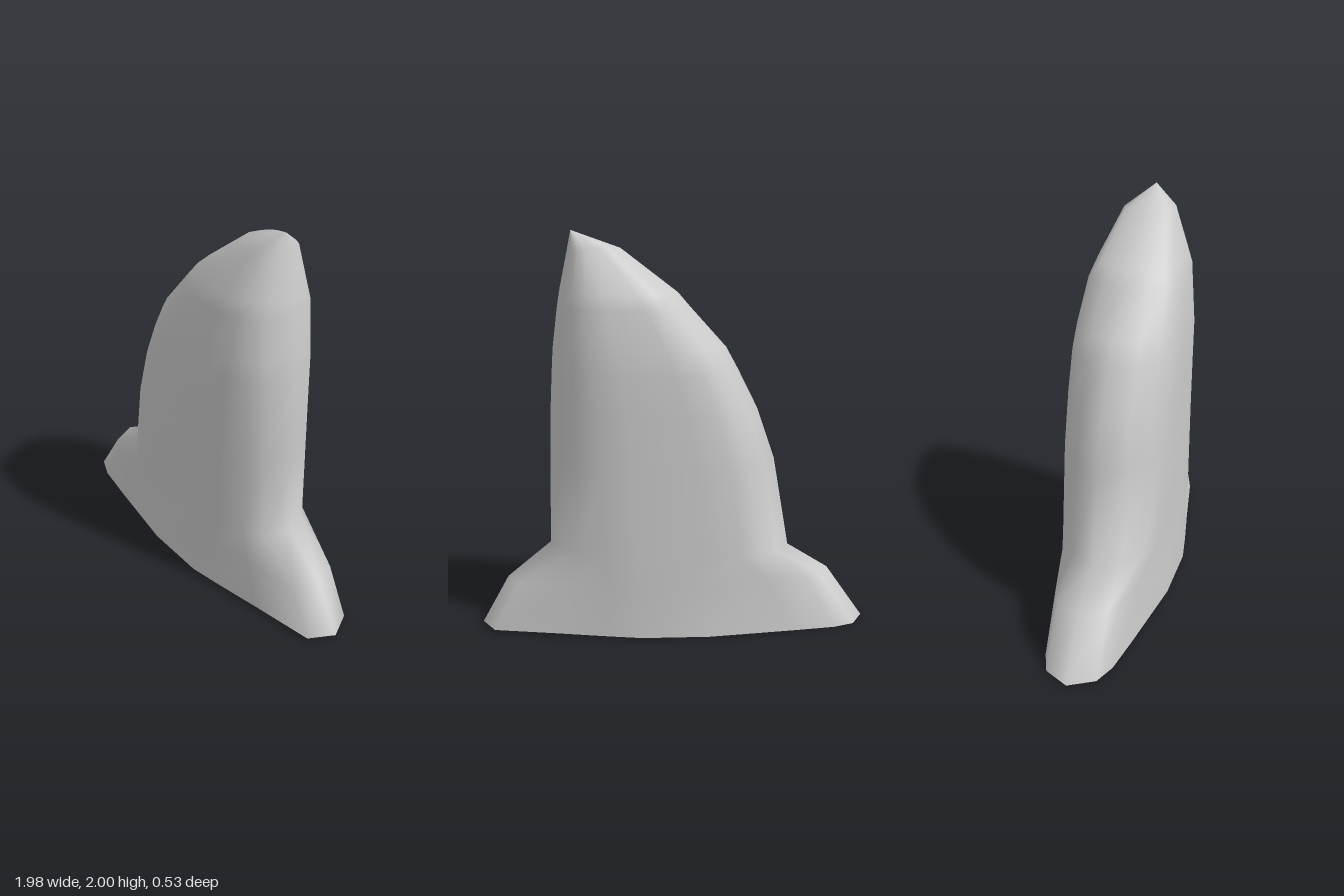
import * as THREE from 'three';

// Half outlines of a section: [fraction along the length, fraction of half thickness]
const FOOT = [[0, 0], [0.035, 0.47], [0.09, 0.64], [0.2, 0.77], [0.42, 1], [0.59, 1], [0.68, 0.88], [0.8, 0.7], [0.965, 0.47], [1, 0]];
const FIN = [[0, 0], [0.06, 0.47], [0.14, 0.78], [0.22, 0.93], [0.36, 1], [0.64, 1], [0.78, 0.9], [0.88, 0.72], [0.95, 0.47], [1, 0]];

// Sections from base to tip: leading x, y; trailing x, y; half thickness; blend from foot to fin outline
const SECTIONS = [
  [-0.99, 0, 0.985, 0.018, 0.265, 0],
  [-0.8, 0.27, 0.85, 0.26, 0.265, 0],
  [-0.59, 0.4, 0.63, 0.44, 0.265, 1],
  [-0.51, 0.86, 0.622, 0.86, 0.265, 1],
  [-0.42, 1.12, 0.615, 1.13, 0.265, 1],
  [-0.32, 1.32, 0.605, 1.32, 0.265, 1],
  [-0.26, 1.43, 0.598, 1.43, 0.255, 1],
  [-0.08, 1.63, 0.573, 1.63, 0.235, 1],
  [-0.02, 1.7, 0.56, 1.71, 0.207, 1],
  [0.26, 1.915, 0.52, 1.9, 0.125, 1],
  [0.5, 2, 0.5, 2, 0, 1],
];

// Closed loop of points: along the front side, then back along the mirrored side
function sectionLoop([x0, y0, x1, y1, half, blend]) {
  const side = FOOT.map(([u, w], i) => {
    const t = THREE.MathUtils.lerp(u, FIN[i][0], blend);
    const z = half * THREE.MathUtils.lerp(w, FIN[i][1], blend);
    return new THREE.Vector3(x0 + (x1 - x0) * t, y0 + (y1 - y0) * t, z);
  });
  const back = side.slice(1, -1).reverse().map((p) => new THREE.Vector3(p.x, p.y, -p.z));
  return [...side, ...back];
}

function makeGeometry(points, index) {
  const geometry = new THREE.BufferGeometry().setFromPoints(points);
  geometry.setIndex(index);
  geometry.computeVertexNormals();
  return geometry;
}

export function createModel() {
  const group = new THREE.Group();
  group.name = 'sharkFin';
  const material = new THREE.MeshStandardMaterial({ color: 0xcccccc });
  const loops = SECTIONS.map(sectionLoop);
  const n = loops[0].length;

  // Smooth skin of the fin and its flared foot
  const index = [];
  for (let r = 0; r < loops.length - 1; r++) {
    for (let i = 0; i < n; i++) {
      const a = r * n + i, b = r * n + (i + 1) % n;
      index.push(a, b, b + n);
      if (r < loops.length - 2) index.push(a, b + n, a + n);
    }
  }
  const fin = new THREE.Mesh(makeGeometry(loops.flat(), index), material);
  fin.name = 'fin';
  group.add(fin);

  // Flat underside
  const capIndex = [];
  for (let i = 0; i < n; i++) capIndex.push(n, (i + 1) % n, i);
  const base = new THREE.Mesh(makeGeometry([...loops[0], new THREE.Vector3(0, 0.009, 0)], capIndex), material);
  base.name = 'underside';
  group.add(base);

  return group;
}
